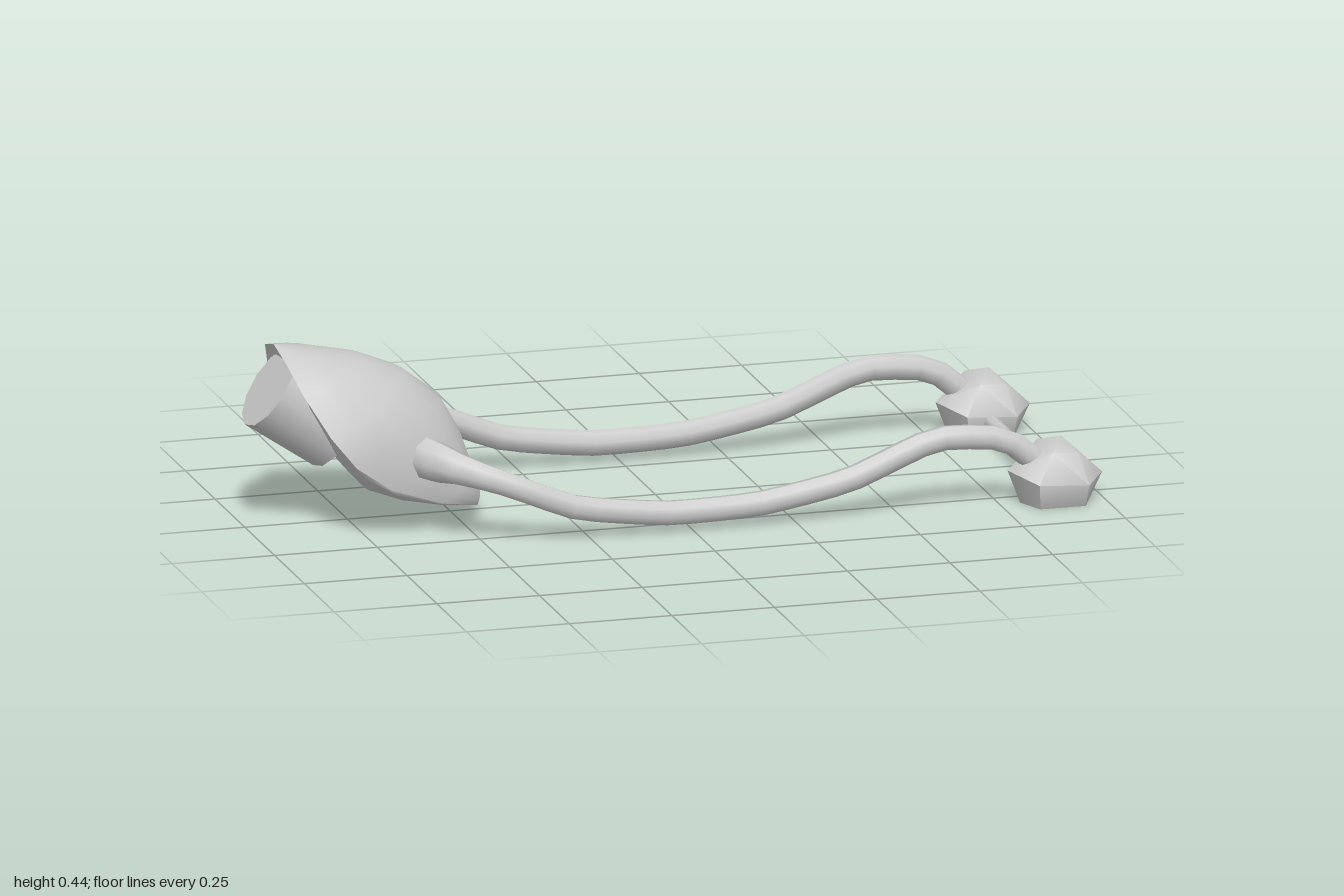
import * as THREE from 'three';
import { mergeVertices, toCreasedNormals } from 'three/addons/utils/BufferGeometryUtils.js';
import { ConvexGeometry } from 'three/addons/geometries/ConvexGeometry.js';

const mat = new THREE.MeshStandardMaterial({ color: 0xcccccc, side: THREE.DoubleSide });

// Rim of the hood, one side, from the top peak to the lower tip: x, y, z
const rim = [[-0.93, 0.44, 0], [-0.925, 0.415, 0.09], [-0.9, 0.35, 0.155], [-0.85, 0.26, 0.21], [-0.79, 0.185, 0.218],
  [-0.7, 0.12, 0.2], [-0.57, 0.07, 0.17], [-0.46, 0.036, 0.09], [-0.43, 0.03, 0]];
// Centre lines above and below that rim: x, y
const upper = [[-0.93, 0.44], [-0.82, 0.42], [-0.72, 0.4], [-0.62, 0.36], [-0.53, 0.29],
  [-0.48, 0.2], [-0.455, 0.12], [-0.44, 0.07], [-0.43, 0.03]];
const under = [[-0.93, 0.44], [-0.89, 0.38], [-0.86, 0.29], [-0.8, 0.18], [-0.72, 0.085],
  [-0.64, 0.06], [-0.56, 0.05], [-0.49, 0.04], [-0.43, 0.03]];

// Arched surface spanning the rim through a centre line
function arch(name, mid, flip) {
  const n = 12, pos = [], idx = [];
  rim.forEach(([x, y, z], i) => {
    for (let j = 0; j <= n; j++) {
      const t = (j / n) * Math.PI, s = Math.sin(t);
      pos.push(x + (mid[i][0] - x) * s, y + (mid[i][1] - y) * s, z * Math.cos(t));
    }
  });
  for (let i = 0; i < rim.length - 1; i++) {
    for (let j = 0; j < n; j++) {
      const a = i * (n + 1) + j, b = a + 1, c = a + n + 1, d = c + 1;
      if (flip) idx.push(a, b, c, b, d, c);
      else idx.push(a, c, b, b, c, d);
    }
  }
  const geo = new THREE.BufferGeometry();
  geo.setAttribute('position', new THREE.Float32BufferAttribute(pos, 3));
  geo.setIndex(idx);
  geo.computeVertexNormals();
  return part(name, geo);
}

function part(name, geo) {
  const mesh = new THREE.Mesh(geo, mat);
  mesh.name = name;
  return mesh;
}

// Bent side rail, flared where it meets the hood
function rail(side) {
  const pts = [[-0.61, 0.18, 0.15], [-0.555, 0.175, 0.25], [-0.43, 0.135, 0.3], [-0.28, 0.075, 0.31], [-0.06, 0.045, 0.31],
    [0.16, 0.05, 0.31], [0.38, 0.09, 0.31], [0.59, 0.172, 0.31], [0.76, 0.16, 0.31], [0.87, 0.07, 0.31]]
    .map(([x, y, z]) => new THREE.Vector3(x, y, z * side));
  const curve = new THREE.CatmullRomCurve3(pts, false, 'catmullrom', 0.25);
  const segments = 28, sides = 8, r = 0.03;
  const geo = new THREE.TubeGeometry(curve, segments, r, sides);
  const p = geo.attributes.position, v = new THREE.Vector3();
  for (let i = 0; i < 4; i++) {
    const c = curve.getPointAt(i / segments), k = [1.75, 1.6, 1.3, 1.1][i];
    for (let j = 0; j <= sides; j++) {
      const n = i * (sides + 1) + j;
      v.fromBufferAttribute(p, n).sub(c).multiplyScalar(k).add(c);
      p.setXYZ(n, v.x, v.y, v.z);
    }
  }
  geo.computeVertexNormals();
  return part(side > 0 ? 'frontRail' : 'backRail', geo);
}

// Faceted foot with a flat base and a blunt peak
function foot(side) {
  const half = [[0.83, 0, 0.07], [0.94, 0, 0.07], [0.82, 0.065, 0.098], [0.94, 0.058, 0.1],
    [0.86, 0.132, 0.065], [0.925, 0.128, 0.058]];
  const pts = [[0.8, 0, 0], [0.965, 0.004, 0], [0.77, 0.08, 0], [1, 0.06, 0], [0.9, 0.155, 0]]
    .concat(half, half.map(([x, y, z]) => [x, y, -z]))
    .map(([x, y, z]) => new THREE.Vector3(x, y, z + 0.303 * side));
  const geo = new ConvexGeometry(pts);
  geo.deleteAttribute('normal');
  return part(side > 0 ? 'frontFoot' : 'backFoot', toCreasedNormals(mergeVertices(geo), 0.95));
}

export function createModel() {
  const model = new THREE.Group();

  // Hood and its underside
  model.add(arch('hood', upper, true), arch('hoodUnderside', under, false));

  // Round collar behind the hood
  const collar = part('collar', new THREE.CylinderGeometry(0.105, 0.105, 0.2, 12));
  const axis = new THREE.Vector3(-0.83, 0.56, 0).normalize();
  collar.quaternion.setFromUnitVectors(new THREE.Vector3(0, 1, 0), axis);
  collar.position.set(-0.941, 0.337, 0).addScaledVector(axis, -0.1);
  model.add(collar);

  // Rails and feet on both sides
  for (const side of [1, -1]) model.add(rail(side), foot(side));

  // Bar joining the feet
  const bar = part('crossBar', new THREE.CylinderGeometry(0.018, 0.018, 0.56, 8));
  bar.rotation.x = Math.PI / 2;
  bar.position.set(0.88, 0.047, 0);
  model.add(bar);
  return model;
}
